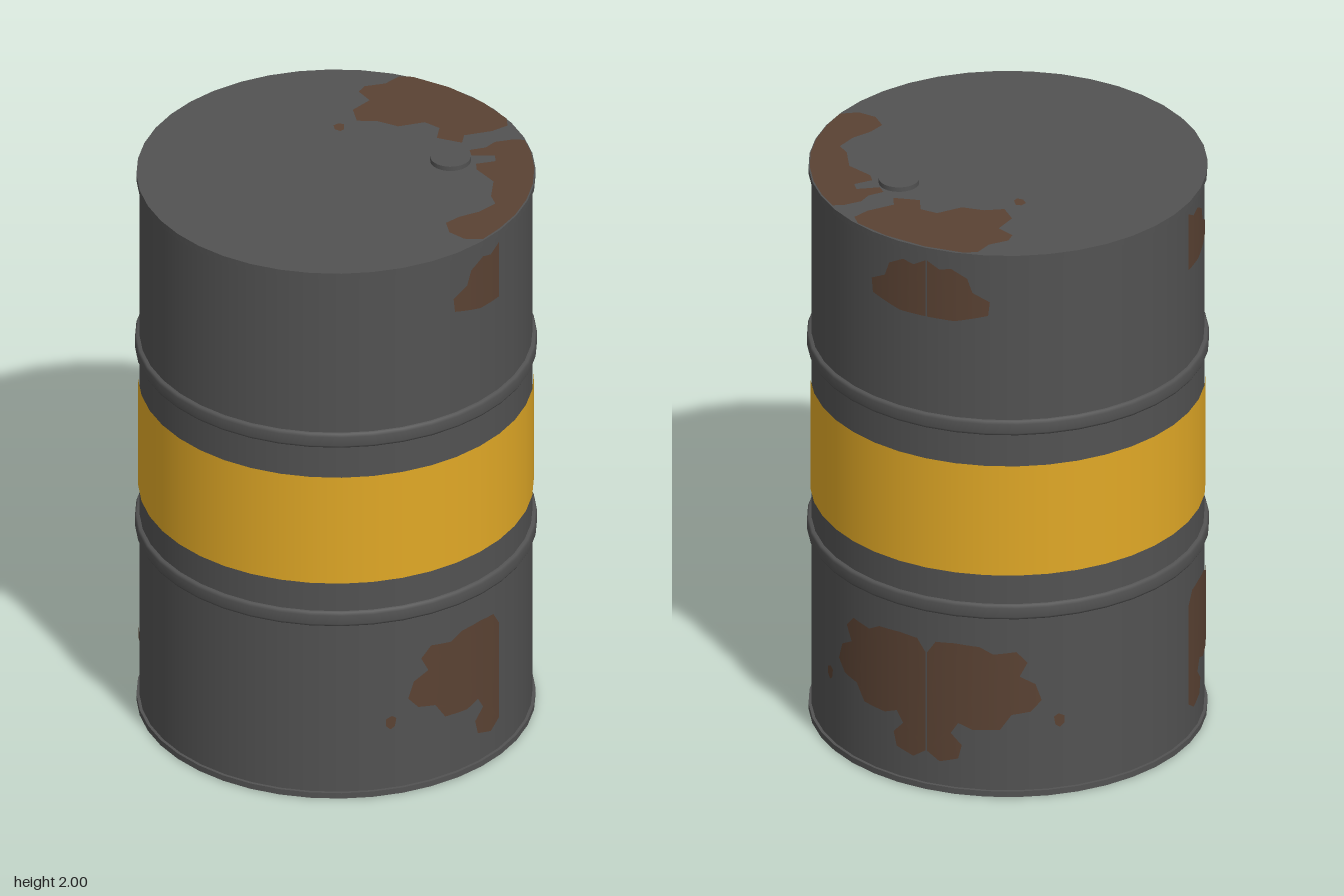
import * as THREE from 'three';
import { mergeVertices } from 'three/addons/utils/BufferGeometryUtils.js';

const SIDES = 40, R = 0.638, PATCH_R = 0.642, CORNER = 0.452;

// Rust outlines as [u, v] points
const wallLow = [[0.12, 0.35], [0.14, 0.41], [0.19, 0.44], [0.165, 0.49], [0.2, 0.53], [0.27, 0.52], [0.31, 0.545],
  [0.38, 0.55], [0.43, 0.545], [CORNER, 0.5], [CORNER, 0.14], [0.42, 0.11], [0.37, 0.13], [0.36, 0.18],
  [0.39, 0.22], [0.37, 0.26], [0.33, 0.24], [0.25, 0.245], [0.215, 0.3], [0.155, 0.31]];
const wallHigh = [[0.285, 1.76], [0.28, 1.81], [0.33, 1.84], [0.345, 1.89], [0.39, 1.92], [0.42, 1.91],
  [CORNER, 1.935], [CORNER, 1.73], [0.38, 1.73]];
const speck = [[0.045, 0.26], [0.045, 0.285], [0.065, 0.295], [0.08, 0.285], [0.075, 0.255], [0.06, 0.245]];
const lidBack = [[0.125, 0.3], [0.125, 0.37], [0.19, 0.42], [0.165, 0.48], [0.19, 0.51], [0.26, 0.515], [0.31, 0.55],
  [0.355, 0.54], [0.46, 0.452], [0.55, 0.337], [0.605, 0.225], [0.6, 0.18], [0.545, 0.155], [0.45, 0.145],
  [0.435, 0.1], [0.36, 0.145], [0.38, 0.205], [0.34, 0.25], [0.25, 0.24], [0.19, 0.285]];
const lidSide = [[0.45, 0.05], [0.505, 0.056], [0.54, 0.085], [0.6, 0.09], [0.638, 0.08], [0.644, 0], [0.636, -0.1],
  [0.612, -0.2], [0.574, -0.292], [0.521, -0.379], [0.455, -0.455], [0.39, -0.512], [0.33, -0.5], [0.29, -0.45],
  [0.29, -0.39], [0.34, -0.36], [0.41, -0.34], [0.47, -0.3], [0.465, -0.25], [0.49, -0.16], [0.45, -0.075],
  [0.455, -0.04], [0.52, -0.035], [0.525, 0], [0.45, 0.015]];

// Fills an outline, subdivides it and moves every point through place(u, v)
function patch(outline, place, flip, levels) {
  const flat = new THREE.ShapeGeometry(new THREE.Shape(outline.map(p => new THREE.Vector2(...p)))).toNonIndexed();
  const pos = flat.attributes.position, out = [];
  const mid = (a, b) => [(a[0] + b[0]) / 2, (a[1] + b[1]) / 2];
  const split = (a, b, c, n) => {
    if (n === 0) {
      for (const p of flip ? [a, c, b] : [a, b, c]) out.push(...place(p[0], p[1]));
      return;
    }
    const ab = mid(a, b), bc = mid(b, c), ca = mid(c, a);
    split(a, ab, ca, n - 1);
    split(ab, b, bc, n - 1);
    split(ca, bc, c, n - 1);
    split(ab, bc, ca, n - 1);
  };
  const at = i => [pos.getX(i), pos.getY(i)];
  for (let i = 0; i < pos.count; i += 3) split(at(i), at(i + 1), at(i + 2), levels);
  const geo = new THREE.BufferGeometry();
  geo.setAttribute('position', new THREE.Float32BufferAttribute(out, 3));
  const merged = mergeVertices(geo);
  merged.computeVertexNormals();
  return merged;
}

export function createModel() {
  const model = new THREE.Group();
  model.name = 'drum';
  const paint = (name, color) => {
    const m = new THREE.MeshStandardMaterial({ color });
    m.name = name;
    return m;
  };
  const steel = paint('dark grey steel', 0x525252);
  const yellow = paint('yellow band paint', 0xe0a826);
  const rust = paint('rust', 0x5a4233);

  const add = (name, geo, mat, x = 0, y = 0) => {
    const mesh = new THREE.Mesh(geo, mat);
    mesh.name = name;
    mesh.position.set(x, y, 0);
    model.add(mesh);
  };
  const ring = (r, h, open = false) => new THREE.CylinderGeometry(r, r, h, SIDES, 1, open);

  // Shell and painted band
  add('shell', ring(R, 1.97), steel, 0, 0.99);
  add('paintedBand', ring(0.642, 0.4, true), yellow, 0, 1.01);

  // Lid and base rims
  add('lid', ring(0.648, 0.022), steel, 0, 1.973);
  add('base', ring(0.648, 0.02), steel, 0, 0.012);

  // Rolled hoops
  const hoop = [[R - 0.005, -0.026], [0.648, -0.025], [0.653, -0.016], [0.653, 0.016], [0.648, 0.025], [R - 0.005, 0.026]]
    .map(p => new THREE.Vector2(...p));
  for (const [name, y] of [['lowerHoop', 0.678], ['upperHoop', 1.352]]) {
    add(name, new THREE.LatheGeometry(hoop, SIDES), steel, 0, y);
  }

  // Bung on the lid
  add('bung', new THREE.CylinderGeometry(0.066, 0.066, 0.02, 28), steel, 0.378, 1.99);

  // Rust on the four quarters of the wall, mirrored at the back right corner
  const depth = u => Math.sqrt(PATCH_R * PATCH_R - u * u);
  const quarters = [
    ['front', (u, v) => [u, v, depth(u)], false],
    ['right', (u, v) => [depth(u), v, -u], false],
    ['back', (u, v) => [u, v, -depth(u)], true],
    ['left', (u, v) => [-depth(u), v, -u], true],
  ];
  for (const [side, place, flip] of quarters) {
    add(side + 'LowerRust', patch(wallLow, place, flip, 3), rust);
    add(side + 'UpperRust', patch(wallHigh, place, flip, 3), rust);
    add(side + 'RustSpeck', patch(speck, place, flip, 1), rust);
  }

  // Rust on the lid and underneath
  for (const [side, y, flip] of [['lid', 1.987, false], ['base', 0, true]]) {
    const place = (u, v) => [u, y, -v];
    add(side + 'BackRust', patch(lidBack, place, flip, 0), rust);
    add(side + 'SideRust', patch(lidSide, place, flip, 0), rust);
    add(side + 'RustSpeck', patch(speck, place, flip, 0), rust);
  }
  return model;
}
